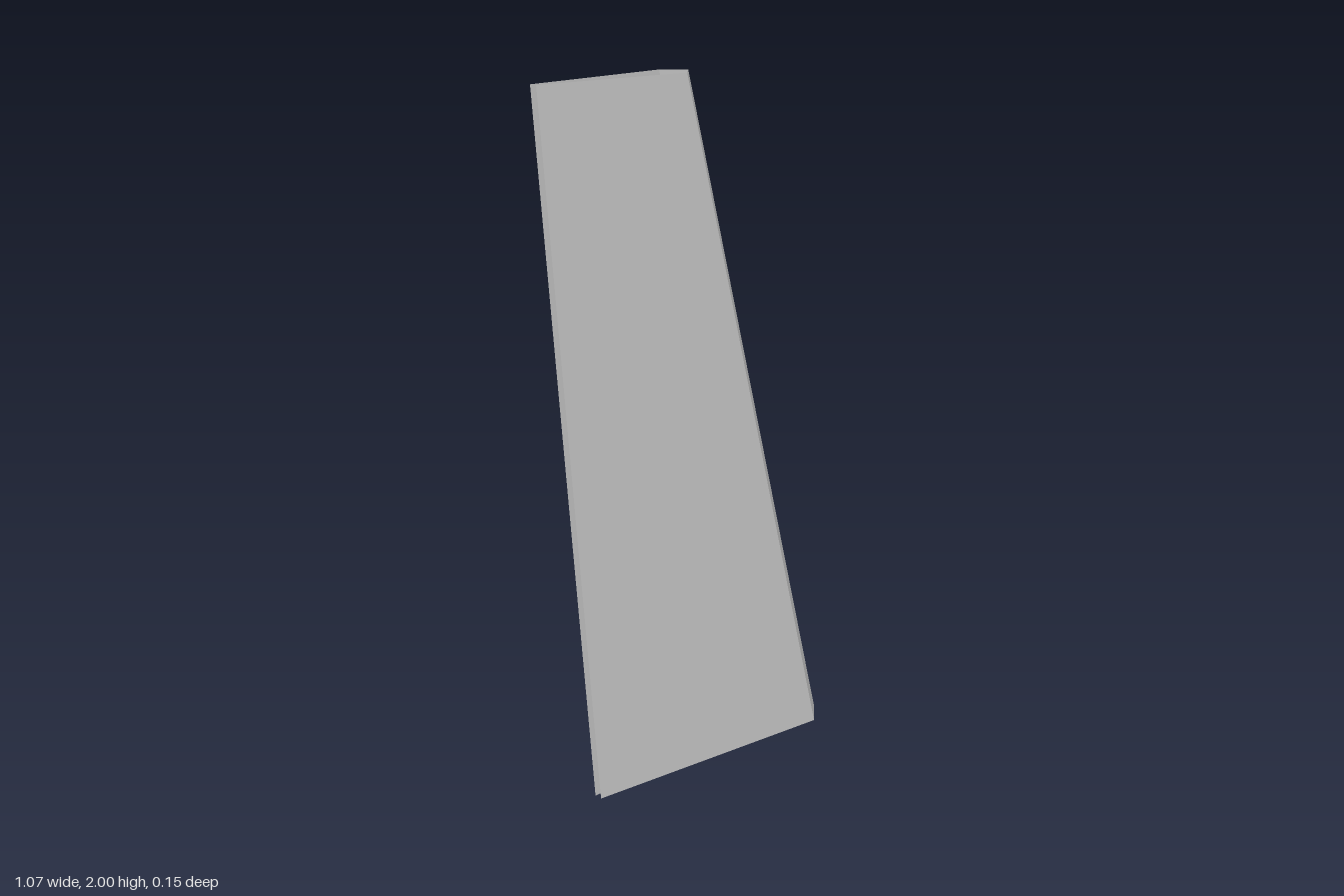
import * as THREE from 'three';

const material = new THREE.MeshStandardMaterial({ color: 0xcccccc, side: THREE.DoubleSide });

// Half cross-sections as [x, z]: trailing edge, shoulder, nose
const root = [[-0.36, 0.012], [0.45, 0.075], [0.53, 0]];
const tip = [[-0.535, 0.012], [-0.065, 0.054], [-0.01, 0]];
const height = 2;
const rows = 12;

// Ruled skin between two section points, lofted from root to tip
function panel(name, i, side) {
  const pos = [], index = [];
  for (let r = 0; r <= rows; r++) {
    const t = r / rows;
    for (const k of [i, i + 1]) {
      const x = THREE.MathUtils.lerp(root[k][0], tip[k][0], t);
      const z = THREE.MathUtils.lerp(root[k][1], tip[k][1], t);
      pos.push(x, t * height, z * side);
    }
    if (r < rows) {
      const a = r * 2, b = a + 1, c = a + 2, d = a + 3;
      // Mirrored side reverses the winding so that faces stay outward
      if (side > 0) index.push(a, b, d, a, d, c);
      else index.push(a, d, b, a, c, d);
    }
  }
  const geometry = new THREE.BufferGeometry();
  geometry.setAttribute('position', new THREE.Float32BufferAttribute(pos, 3));
  geometry.setIndex(index);
  geometry.computeVertexNormals();
  const mesh = new THREE.Mesh(geometry, material);
  mesh.name = name;
  return mesh;
}

export function createModel() {
  const fin = new THREE.Group();
  fin.name = 'taperedFin';
  // Open shell: two side skins and a wedge-shaped leading edge
  for (const [label, side] of [['front', 1], ['back', -1]]) {
    fin.add(panel(label + 'Skin', 0, side));
    fin.add(panel(label + 'LeadingEdge', 1, side));
  }
  return fin;
}
